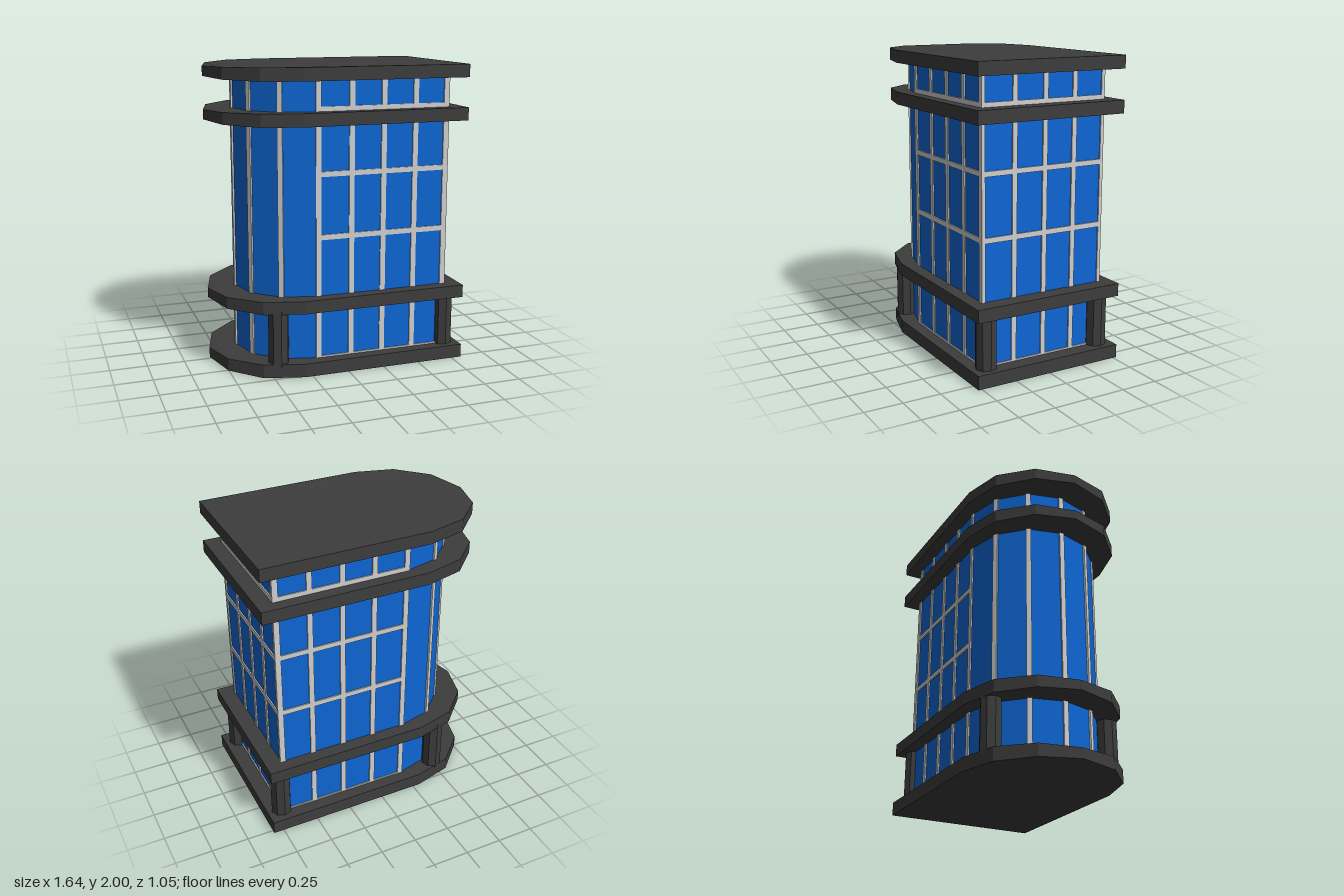
import * as THREE from 'three';

const glass = new THREE.MeshStandardMaterial({ color: 0x0e66d4 });
glass.name = 'blue glass';
const frame = new THREE.MeshStandardMaterial({ color: 0xd0d0d0 });
frame.name = 'light frame';
const stone = new THREE.MeshStandardMaterial({ color: 0x3d3d3d });
stone.name = 'dark stone';

// Plan: straight right end, six-sided half round on the left; extruded upwards
function plan(right, centre, radius, bottom, top) {
  const points = [new THREE.Vector2(right, -radius), new THREE.Vector2(right, radius)];
  for (let i = 0; i <= 6; i++) {
    const a = Math.PI / 2 + (i * Math.PI) / 6;
    points.push(new THREE.Vector2(centre + radius * Math.cos(a), radius * Math.sin(a)));
  }
  const geo = new THREE.ExtrudeGeometry(new THREE.Shape(points), { depth: top - bottom, bevelEnabled: false });
  return geo.rotateX(-Math.PI / 2).translate(0, bottom, 0);
}

export function createModel() {
  const model = new THREE.Group();
  model.name = 'officeTower';

  const add = (name, geo, material) => {
    const mesh = new THREE.Mesh(geo, material);
    mesh.name = name;
    model.add(mesh);
    return mesh;
  };
  // Box given by its limits on each axis
  const box = (name, x0, x1, y0, y1, z0, z1) => {
    const geo = new THREE.BoxGeometry(x1 - x0, y1 - y0, z1 - z0);
    add(name, geo.translate((x0 + x1) / 2, (y0 + y1) / 2, (z0 + z1) / 2), frame);
  };

  // Overhanging slabs, slightly thinner towards the rounded nose
  for (const [bottom, top] of [[0, 0.09], [0.43, 0.515], [1.635, 1.72], [1.915, 2]]) {
    const geo = plan(0.82, -0.3, 0.525, bottom, top);
    const pos = geo.attributes.position;
    const middle = (bottom + top) / 2;
    for (let i = 0; i < pos.count; i++) {
      const x = pos.getX(i);
      const inset = x < -0.8 ? 0.011 : x < -0.7 ? 0.004 : 0;
      pos.setY(i, pos.getY(i) + (pos.getY(i) < middle ? inset : -inset));
    }
    geo.computeVertexNormals();
    add('floorSlab', geo, stone);
  }

  // Glass body
  add('glassWalls', plan(0.712, -0.2, 0.437, 0.05, 1.95), glass);

  // Frame on the straight walls
  const y0 = 0.06, y1 = 1.94;
  const bars = [[0.085, 0.1], [0.89, 0.925], [1.303, 1.337], [1.7, 1.75]];
  for (const side of [1, -1]) {
    const zIn = side * 0.43, zOut = side * 0.445;
    const zMin = Math.min(zIn, zOut), zMax = Math.max(zIn, zOut);
    for (const x of [-0.183, 0.042, 0.262, 0.482]) {
      box('mullion', x - 0.018, x + 0.018, y0, y1, zMin, zMax);
    }
    for (const [a, b] of bars) box('transom', -0.18, 0.7, a, b, zMin, zMax);
    const zc = side * 0.433;
    box('cornerPost', 0.682, 0.72, y0, y1, zc - 0.012, zc + 0.012);
  }
  for (const z of [-0.22, -0.005, 0.213]) {
    box('endMullion', 0.705, 0.72, y0, y1, z - 0.017, z + 0.017);
  }
  for (const [a, b] of bars) box('endTransom', 0.705, 0.72, a, b, -0.43, 0.43);

  // Mullions at the corners of the rounded end
  for (let i = 1; i < 6; i++) {
    const a = (i * Math.PI) / 6;
    const post = add('roundMullion', new THREE.BoxGeometry(0.034, y1 - y0, 0.024), frame);
    post.position.set(-0.2 - 0.432 * Math.sin(a), (y0 + y1) / 2, 0.432 * Math.cos(a));
    post.rotation.y = -a;
  }

  // Ground floor columns
  for (const x of [-0.452, 0.72]) {
    for (const z of [-0.418, 0.418]) {
      const geo = new THREE.CylinderGeometry(0.069, 0.069, 0.38, 8).toNonIndexed();
      geo.computeVertexNormals();
      add('column', geo.translate(x, 0.26, z), stone);
    }
  }

  return model;
}
